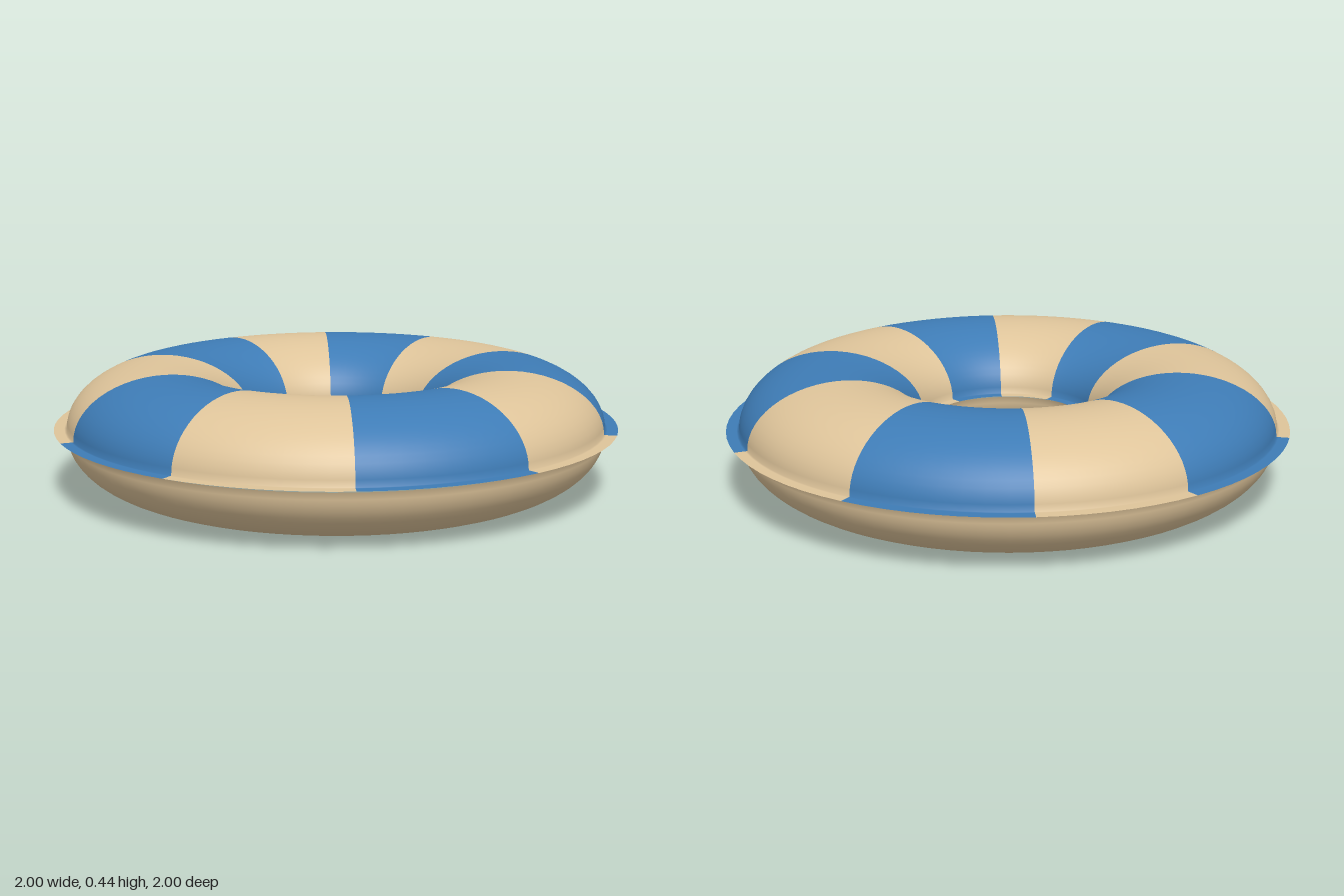
import * as THREE from 'three';

const STEP = Math.PI / 40; // 80 facets round the ring
const TUBE_R = 0.635, HALF_W = 0.32, HALF_H = 0.21;
const SEAM_TOP = 0.225, SEAM_BOTTOM = 0.21;

// Half-ellipse shell section with a flat weld flange at each end,
// running outer to inner for the top (side 1), inner to outer for the bottom (side -1).
function shellProfile(side) {
  const seam = side > 0 ? SEAM_TOP : SEAM_BOTTOM;
  const pts = [];
  const n = 28;
  for (let i = 0; i <= n; i++) {
    const a = (i / n) * Math.PI;
    pts.push(new THREE.Vector2(
      TUBE_R + side * HALF_W * Math.cos(a),
      seam + side * HALF_H * Math.sin(a)
    ));
  }
  const outer = [new THREE.Vector2(1, seam), new THREE.Vector2(0.963, seam)];
  const inner = [new THREE.Vector2(0.307, seam), new THREE.Vector2(0.275, seam)];
  return side > 0
    ? [...outer, ...pts, ...inner]
    : [...inner.reverse(), ...pts, ...outer.reverse()];
}

export function createModel() {
  const group = new THREE.Group();
  group.name = 'swimRing';

  const sand = new THREE.MeshStandardMaterial({ color: 0xdec49a });
  sand.name = 'sand';
  const blue = new THREE.MeshStandardMaterial({ color: 0x3e7cb6 });
  blue.name = 'blue';

  // Striped top shell: ten wedges, counted in facets, starting at +x
  const top = new THREE.Group();
  top.name = 'stripedTop';
  const topProfile = shellProfile(1);
  let start = 0;
  [8, 8, 8, 7, 9, 8, 8, 8, 8, 8].forEach((count, i) => {
    const geo = new THREE.LatheGeometry(
      topProfile, count, Math.PI / 2 + start * STEP, count * STEP);
    const wedge = new THREE.Mesh(geo, i % 2 === 0 ? blue : sand);
    wedge.name = (i % 2 === 0 ? 'blueStripe' : 'sandStripe') + (Math.floor(i / 2) + 1);
    top.add(wedge);
    start += count;
  });
  group.add(top);

  // Plain bottom shell
  const bottom = new THREE.Mesh(
    new THREE.LatheGeometry(shellProfile(-1), 80), sand);
  bottom.name = 'bottomShell';
  group.add(bottom);

  return group;
}
